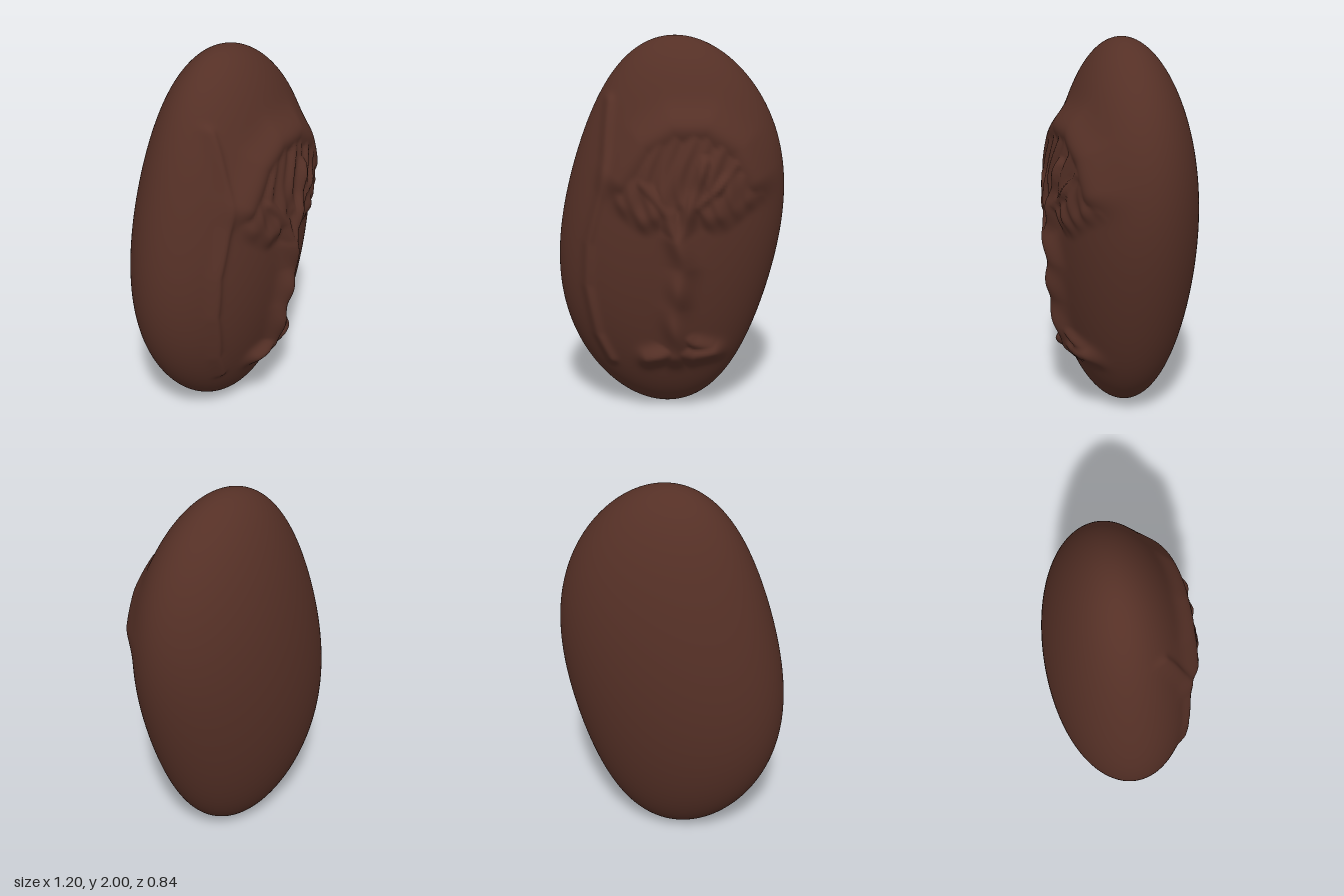
import * as THREE from 'three';
import { mergeVertices } from 'three/addons/utils/BufferGeometryUtils.js';

const smooth = THREE.MathUtils.smoothstep;

// Rounded ridge along a polyline of [x, y] points
function ridge(x, y, points, radius, height) {
  let nearest = Infinity;
  for (let i = 0; i < points.length - 1; i++) {
    const [ax, ay] = points[i];
    const dx = points[i + 1][0] - ax, dy = points[i + 1][1] - ay;
    const t = THREE.MathUtils.clamp(((x - ax) * dx + (y - ay) * dy) / (dx * dx + dy * dy), 0, 1);
    nearest = Math.min(nearest, Math.hypot(x - ax - dx * t, y - ay - dy * t));
  }
  return height * Math.exp(-((nearest / radius) ** 2));
}

// Tree strokes: points, radius, height
const strokes = [
  [[[0.05, 0.36], [0.05, 0.62], [0.09, 0.85], [0.07, 1.0]], 0.065, 0.06], // trunk
  [[[0.07, 0.98], [0.02, 1.13], [-0.12, 1.28]], 0.045, 0.055],            // left branch
  [[[0.07, 0.98], [0.13, 1.18], [0.2, 1.4]], 0.045, 0.06],               // right branch
  [[[0.12, 1.15], [0.26, 1.25], [0.36, 1.38]], 0.035, 0.05],             // outer branch
  [[[-0.1, 0.33], [0.04, 0.38], [0.14, 0.34], [0.25, 0.36]], 0.05, 0.055], // roots
  [[[0.04, 0.5], [0.14, 0.42], [0.23, 0.39]], 0.04, 0.035],              // root flare
];
const crown = [[-0.24, 1.3], [-0.12, 1.48], [0.03, 1.57], [0.22, 1.57], [0.38, 1.46], [0.46, 1.3]];
const sideVein = [[-0.31, 1.68], [-0.32, 1.4], [-0.34, 1.22], [-0.41, 0.95], [-0.42, 0.72], [-0.37, 0.45], [-0.3, 0.3]];

// Height of the carved tree above the stone
function relief(x, y) {
  let h = 0;
  for (const [points, radius, height] of strokes) h = Math.max(h, ridge(x, y, points, radius, height));
  // Twisted bark
  h *= 1 + 0.15 * Math.sin(26 * y + 22 * x);
  // Leafy canopy with uneven hanging ribs
  const d = Math.hypot((x - 0.11) / 0.42, (y - 1.27) / 0.38);
  const lower = 1.1 + 0.04 * Math.sin(x * 17) + 0.12 * Math.max(0, x - 0.2);
  const mask = (1 - smooth(d, 0.75, 1.08)) * smooth(y, lower - 0.06, lower + 0.06);
  const ribs = Math.sin(x * 75 + 3 * Math.sin(y * 11)) * 0.006 + Math.sin(x * 38 - y * 24) * 0.005;
  h = Math.max(h, mask * (0.035 + ribs));
  h = Math.max(h, ridge(x, y, crown, 0.085, 0.055));
  return h + ridge(x, y, sideVein, 0.028, 0.026);
}

export function createModel() {
  const group = new THREE.Group();
  group.name = 'carvedStone';
  const brownStone = new THREE.MeshStandardMaterial({ color: 0x553026 });
  brownStone.name = 'brownStone';

  // Leaning egg-shaped pebble with the tree raised on its front
  let geometry = new THREE.SphereGeometry(1, 270, 190);
  geometry.deleteAttribute('uv');
  geometry.deleteAttribute('normal');
  geometry = mergeVertices(geometry, 1e-5);
  const p = geometry.attributes.position;
  for (let i = 0; i < p.count; i++) {
    const v = p.getY(i);
    const x = 0.588 * p.getX(i) + 0.05 * Math.sin(v * 2.7);
    const y = 1 + v;
    const front = smooth(p.getZ(i), 0.05, 0.35);
    const z = 0.385 * p.getZ(i) - 0.033 + front * relief(x, y);
    p.setXYZ(i, x, y, z);
  }
  geometry.computeVertexNormals();
  const stone = new THREE.Mesh(geometry, brownStone);
  stone.name = 'stoneWithTreeRelief';
  group.add(stone);
  return group;
}
